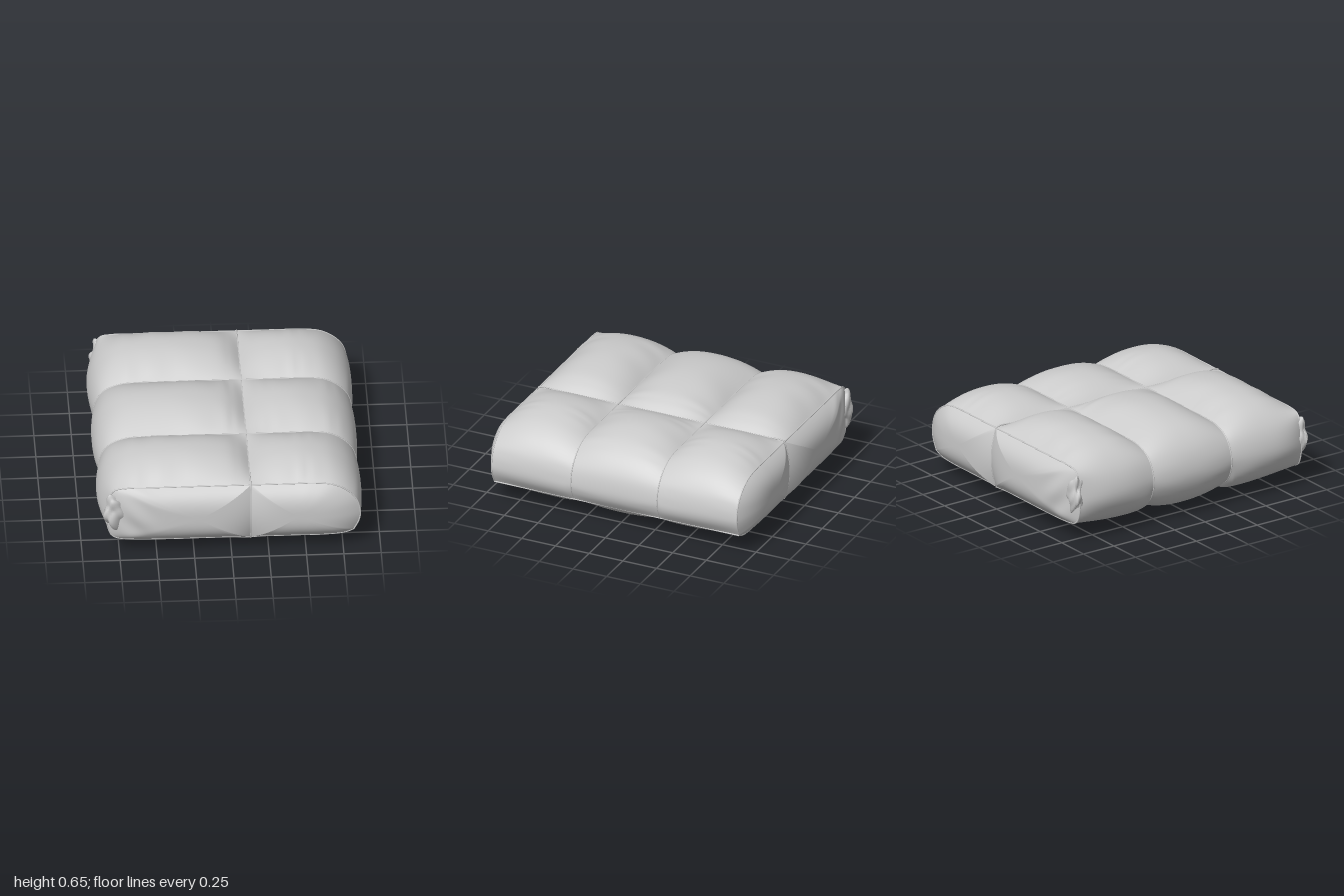
import * as THREE from 'three';

const SEAM_X = 0.13, END_Z = 0.91, MID_Z = 0.32;

// Cross-section key points (x, y), counter-clockwise from the top notch.
// puff = middle of a pocket, tight = inner seams, end = border of the end panels.
const PROFILES = {
  left: {
    puff: [0.13, 0.53, 0.06, 0.58, -0.05, 0.62, -0.3, 0.645, -0.55, 0.63, -0.72, 0.58, -0.84, 0.47, -0.89, 0.32,
      -0.86, 0.18, -0.78, 0.09, -0.65, 0.03, -0.45, 0.015, -0.25, 0.012, 0, 0.025, 0.08, 0.055, 0.13, 0.09],
    tight: [0.13, 0.53, 0.06, 0.53, -0.05, 0.53, -0.3, 0.53, -0.55, 0.53, -0.7, 0.515, -0.81, 0.45, -0.86, 0.32,
      -0.83, 0.2, -0.76, 0.13, -0.65, 0.1, -0.45, 0.09, -0.25, 0.09, 0, 0.09, 0.08, 0.09, 0.13, 0.09],
    end: [0.13, 0.52, 0.06, 0.52, -0.05, 0.52, -0.3, 0.52, -0.55, 0.52, -0.7, 0.52, -0.8, 0.49, -0.835, 0.32,
      -0.825, 0.2, -0.78, 0.13, -0.65, 0.11, -0.45, 0.105, -0.25, 0.105, 0, 0.105, 0.08, 0.1, 0.13, 0.1],
  },
  lower: {
    puff: [0.13, 0.09, 0.2, 0.045, 0.3, 0.015, 0.47, 0, 0.62, 0.02, 0.75, 0.075, 0.83, 0.14],
    tight: [0.13, 0.09, 0.2, 0.09, 0.3, 0.09, 0.47, 0.09, 0.62, 0.095, 0.75, 0.11, 0.825, 0.14],
    end: [0.13, 0.1, 0.2, 0.105, 0.3, 0.105, 0.47, 0.105, 0.62, 0.105, 0.75, 0.115, 0.82, 0.14],
  },
  upper: {
    puff: [0.83, 0.14, 0.875, 0.21, 0.885, 0.29, 0.86, 0.4, 0.79, 0.5, 0.68, 0.575, 0.55, 0.61, 0.43, 0.62,
      0.3, 0.605, 0.2, 0.57, 0.13, 0.53],
    tight: [0.825, 0.14, 0.86, 0.21, 0.87, 0.28, 0.845, 0.38, 0.78, 0.46, 0.68, 0.515, 0.55, 0.53, 0.43, 0.53,
      0.3, 0.53, 0.2, 0.53, 0.13, 0.53],
    end: [0.82, 0.14, 0.855, 0.21, 0.865, 0.28, 0.84, 0.38, 0.775, 0.455, 0.68, 0.505, 0.55, 0.52, 0.43, 0.52,
      0.3, 0.52, 0.2, 0.52, 0.13, 0.52],
  },
};

const STEPS = { left: 80, lower: 32, upper: 48 };
const curves = {};
for (const part in PROFILES) {
  curves[part] = {};
  for (const kind in PROFILES[part]) {
    const a = PROFILES[part][kind], pts = [];
    for (let i = 0; i < a.length; i += 2) pts.push(new THREE.Vector2(a[i], a[i + 1]));
    curves[part][kind] = new THREE.SplineCurve(pts);
  }
}

const material = new THREE.MeshStandardMaterial({ color: 0xcccccc, roughness: 0.8 });

function addMesh(group, name, geometry) {
  const mesh = new THREE.Mesh(geometry, material);
  mesh.name = name;
  group.add(mesh);
  return mesh;
}

// Smooth patch from fn(u, v); it faces du x dv unless flipped.
function patch(fn, nu, nv, flip = false) {
  const pos = [], index = [];
  for (let j = 0; j <= nv; j++)
    for (let i = 0; i <= nu; i++) pos.push(...fn(i / nu, j / nv));
  for (let j = 0; j < nv; j++)
    for (let i = 0; i < nu; i++) {
      const a = j * (nu + 1) + i, b = a + 1, c = b + nu + 1, d = a + nu + 1;
      index.push(...(flip ? [a, c, b, a, d, c] : [a, b, c, a, c, d]));
    }
  const g = new THREE.BufferGeometry();
  g.setAttribute('position', new THREE.Float32BufferAttribute(pos, 3));
  g.setIndex(index);
  g.computeVertexNormals();
  return g;
}

// One stuffed pocket of the wrapped cover between two seams.
function pocket(part, z0, z1, kind0, kind1) {
  const c = curves[part];
  const outer = kind0 !== kind1;
  return patch((u, v) => {
    const base = c[kind0].getPoint(u).lerp(c[kind1].getPoint(u), v);
    const puff = c.puff.getPoint(u);
    // the underside of outer pockets sags towards the inner seam
    const under = outer ? THREE.MathUtils.smoothstep(0.3 - base.y, 0, 0.18) : 0;
    const skew = kind0 === 'end' ? 1 - Math.sqrt(1 - v) : Math.sqrt(v);
    const w = Math.abs(2 * THREE.MathUtils.lerp(v, skew, under) - 1);
    let f = (1 - w ** 2.3) * (1 - 0.25 * under);
    f *= 1 + 0.1 * w * w * Math.sin(u * STEPS[part] * 0.8 + 3 * Math.sin(u * 17 + z0 * 5));
    base.lerp(puff, f);
    return [base.x, base.y, z0 + (z1 - z0) * v];
  }, STEPS[part], 28);
}

// Height of the end panel along its middle seam.
const chordBulge = (y) => 0.04 * Math.max(0, 1 - ((y - 0.31) / 0.21) ** 2);

// Half of an end panel, domed from its border towards a centre point.
function endPanel(isLeft, side) {
  const rim = [];
  const addCurve = (part) => {
    for (let i = 0; i < STEPS[part]; i++) {
      const p = curves[part].end.getPoint(i / STEPS[part]);
      rim.push([p.x, p.y, 0]);
    }
  };
  if (isLeft) addCurve('left');
  else { addCurve('lower'); addCurve('upper'); }
  for (let i = 0; i <= 20; i++) {
    const y = isLeft ? 0.1 + 0.021 * i : 0.52 - 0.021 * i;
    rim.push([SEAM_X, y, chordBulge(y)]);
  }
  const cx = isLeft ? -0.22 : 0.45, cy = 0.31, n = rim.length - 1;
  return patch((u, v) => {
    const [x, y, b] = rim[Math.round(u * n)];
    const r = 1 - v, k = r ** 3;
    const px = cx + (x - cx) * r, py = cy + (y - cy) * r;
    // gathers near the crumpled corner
    const crumple = isLeft ? 0.012 * Math.exp(-(((px + 0.68) / 0.12) ** 2)) * Math.sin(28 * py + 22 * px) * (1 - k) : 0;
    return [px, py, side * (END_Z + 0.09 * (1 - k) + b * k + crumple)];
  }, n, 24, side < 0);
}

// Thin stitched cord along a path.
const cord = (pts, closed = false) => new THREE.TubeGeometry(
  new THREE.CatmullRomCurve3(pts, closed), pts.length * 2, 0.005, 6, closed);

function loopPoints(kind, z) {
  const pts = [];
  for (const part of ['left', 'lower', 'upper'])
    for (let i = 0; i < STEPS[part]; i += 2) {
      const p = curves[part][kind].getPoint(i / STEPS[part]);
      pts.push(new THREE.Vector3(p.x, p.y, z));
    }
  return pts;
}

// Bunched-up fabric at a corner: a sphere with folds.
function cornerFold() {
  const g = new THREE.SphereGeometry(1, 32, 24);
  const p = g.attributes.position, v = new THREE.Vector3();
  for (let i = 0; i < p.count; i++) {
    v.fromBufferAttribute(p, i);
    const k = 1 + 0.14 * Math.sin(5 * v.y + 4 * v.x) + 0.1 * Math.sin(7 * v.z - 6 * v.y);
    p.setXYZ(i, v.x * k * 0.075, v.y * k * 0.13, v.z * k * 0.05);
  }
  g.computeVertexNormals();
  return g;
}

export function createModel() {
  const model = new THREE.Group();
  model.name = 'cushion';

  // cover: three rows of pockets wrapped around the cross-section
  const rows = [
    [-END_Z, -MID_Z, 'end', 'tight'],
    [-MID_Z, MID_Z, 'tight', 'tight'],
    [MID_Z, END_Z, 'tight', 'end'],
  ];
  const names = { left: 'longPocket', lower: 'shortPocketUnderside', upper: 'shortPocketTop' };
  for (const row of rows)
    for (const part in names) addMesh(model, names[part], pocket(part, ...row));

  // front and back ends with corner folds
  for (const side of [1, -1]) {
    addMesh(model, 'longEndPanel', endPanel(true, side));
    addMesh(model, 'shortEndPanel', endPanel(false, side));
    const fold = addMesh(model, 'cornerFold', cornerFold());
    fold.position.set(-0.775, 0.35, side * 0.91);
    fold.rotation.y = side * 0.35;
  }

  // seams around the cross-section
  for (const s of [1, -1]) {
    addMesh(model, 'endSeam', cord(loopPoints('end', s * END_Z), true));
    addMesh(model, 'crossSeam', cord(loopPoints('tight', s * MID_Z), true));
  }

  // lengthwise seam around the cushion, and the lower edge seam
  const ring = [];
  for (let i = 0; i <= 16; i++) ring.push(new THREE.Vector3(SEAM_X, 0.528, END_Z * (i / 8 - 1)));
  for (let i = 1; i < 12; i++) ring.push(new THREE.Vector3(SEAM_X, 0.52 - 0.035 * i, END_Z + chordBulge(0.52 - 0.035 * i)));
  for (let i = 0; i <= 16; i++) ring.push(new THREE.Vector3(SEAM_X, 0.092, END_Z * (1 - i / 8)));
  for (let i = 1; i < 12; i++) ring.push(new THREE.Vector3(SEAM_X, 0.1 + 0.035 * i, -END_Z - chordBulge(0.1 + 0.035 * i)));
  addMesh(model, 'lengthSeam', cord(ring, true));
  addMesh(model, 'lowerEdgeSeam', cord([-END_Z, -MID_Z, 0, MID_Z, END_Z].map((z) => new THREE.Vector3(0.826, 0.14, z))));
  return model;
}
